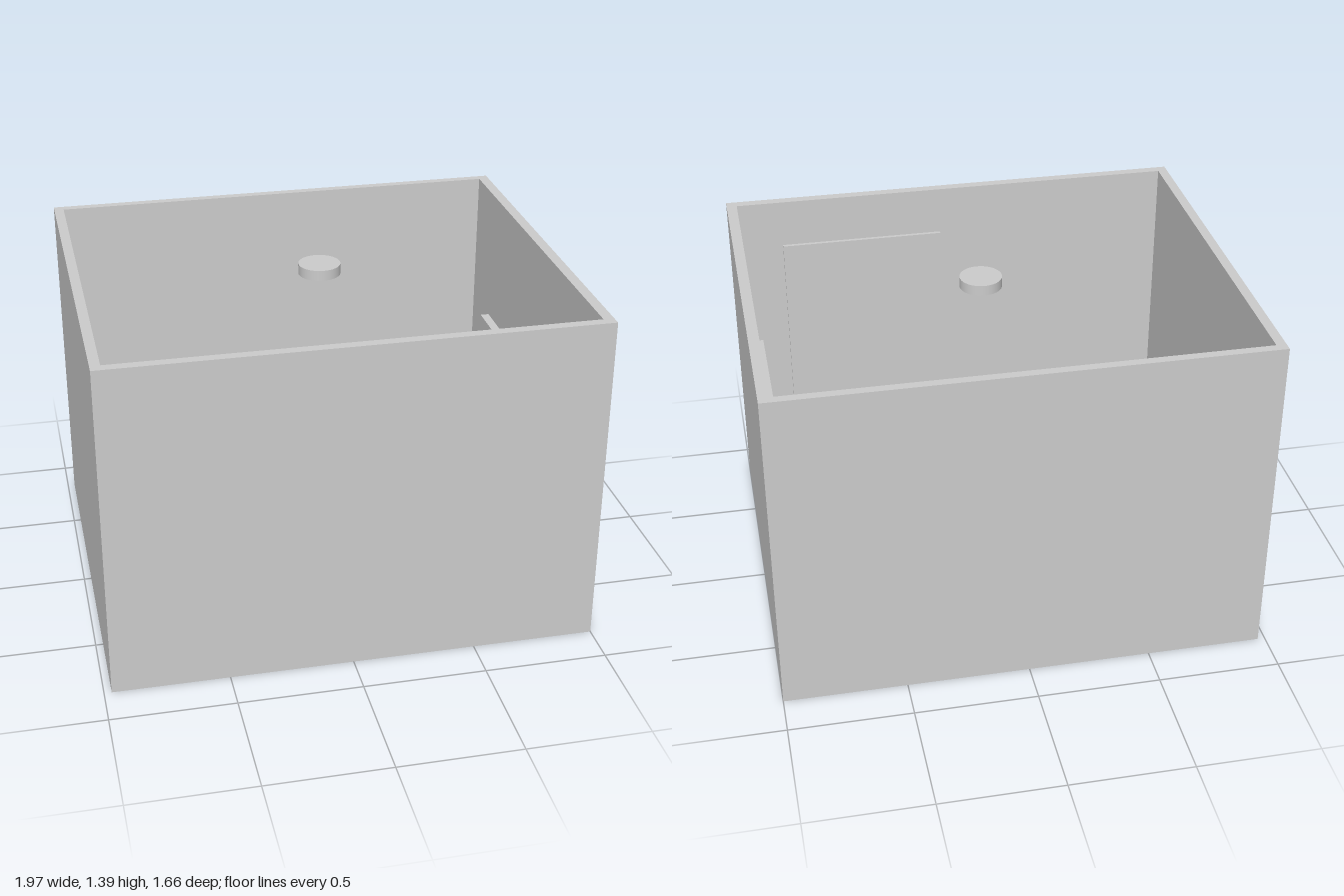
import * as THREE from 'three';

export function createModel() {
  const model = new THREE.Group();
  const material = new THREE.MeshStandardMaterial({ color: 0xcccccc });
  const FLOOR = 0.04, TOP = 1.395;

  const add = (name, geometry, x, y, z) => {
    const mesh = new THREE.Mesh(geometry, material);
    mesh.name = name;
    mesh.position.set(x, y, z);
    model.add(mesh);
  };
  // Box given by its limits on each axis
  const box = (name, [x0, x1], [y0, y1], [z0, z1]) =>
    add(name, new THREE.BoxGeometry(x1 - x0, y1 - y0, z1 - z0),
      (x0 + x1) / 2, (y0 + y1) / 2, (z0 + z1) / 2);
  const disc = (name, r, [y0, y1], x, z) =>
    add(name, new THREE.CylinderGeometry(r, r, y1 - y0, 40), x, (y0 + y1) / 2, z);

  // Room shell: one wall ring, open at the top, over a floor slab
  const ring = new THREE.Shape([[-0.97, -0.83], [1, -0.83], [1, 0.833], [-0.97, 0.833]]
    .map(([x, y]) => new THREE.Vector2(x, y)));
  ring.holes.push(new THREE.Path([[-0.93, -0.79], [-0.93, 0.797], [0.957, 0.797], [0.957, -0.79]]
    .map(([x, y]) => new THREE.Vector2(x, y))));
  const walls = new THREE.ExtrudeGeometry(ring, { depth: TOP - FLOOR, bevelEnabled: false });
  walls.rotateX(-Math.PI / 2);
  add('walls', walls, 0, FLOOR, 0);
  box('floor', [-0.97, 1], [0, FLOOR], [-0.833, 0.83]);

  // Bed with headboard and bench at its foot
  box('bed', [-0.10, 0.91], [FLOOR, 0.39], [-0.51, 0.585]);
  box('headboard', [0.90, 0.937], [FLOOR, 0.85], [-0.505, 0.565]);
  box('footBench', [-0.26, -0.10], [FLOOR, 0.3], [-0.505, 0.58]);

  // Round side tables either side of the headboard
  for (const z of [-0.63, 0.693]) disc('sideTable', 0.087, [FLOOR, 0.39], 0.862, z);

  // Furniture and closet door along the walls
  box('cabinet', [-0.93, -0.74], [FLOOR, 0.5], [-0.285, 0.21]);
  box('chair', [-0.85, -0.585], [FLOOR, 0.3], [-0.795, -0.567]);
  box('closetDoor', [0.07, 0.77], [FLOOR, 1.19], [0.774, 0.79]);

  // Wall fittings
  box('rightWallOutlet', [-0.93, -0.885], [0.19, 0.26], [-0.68, -0.61]);
  box('leftWallOutlet', [0.94, 0.957], [0.19, 0.26], [-0.015, 0.055]);
  box('frontWallFitting', [-0.275, -0.207], [0.19, 0.26], [0.757, 0.79]);

  // Ceiling fan
  disc('fan', 0.086, [1.335, 1.378], 0.04, -0.013);

  return model;
}
